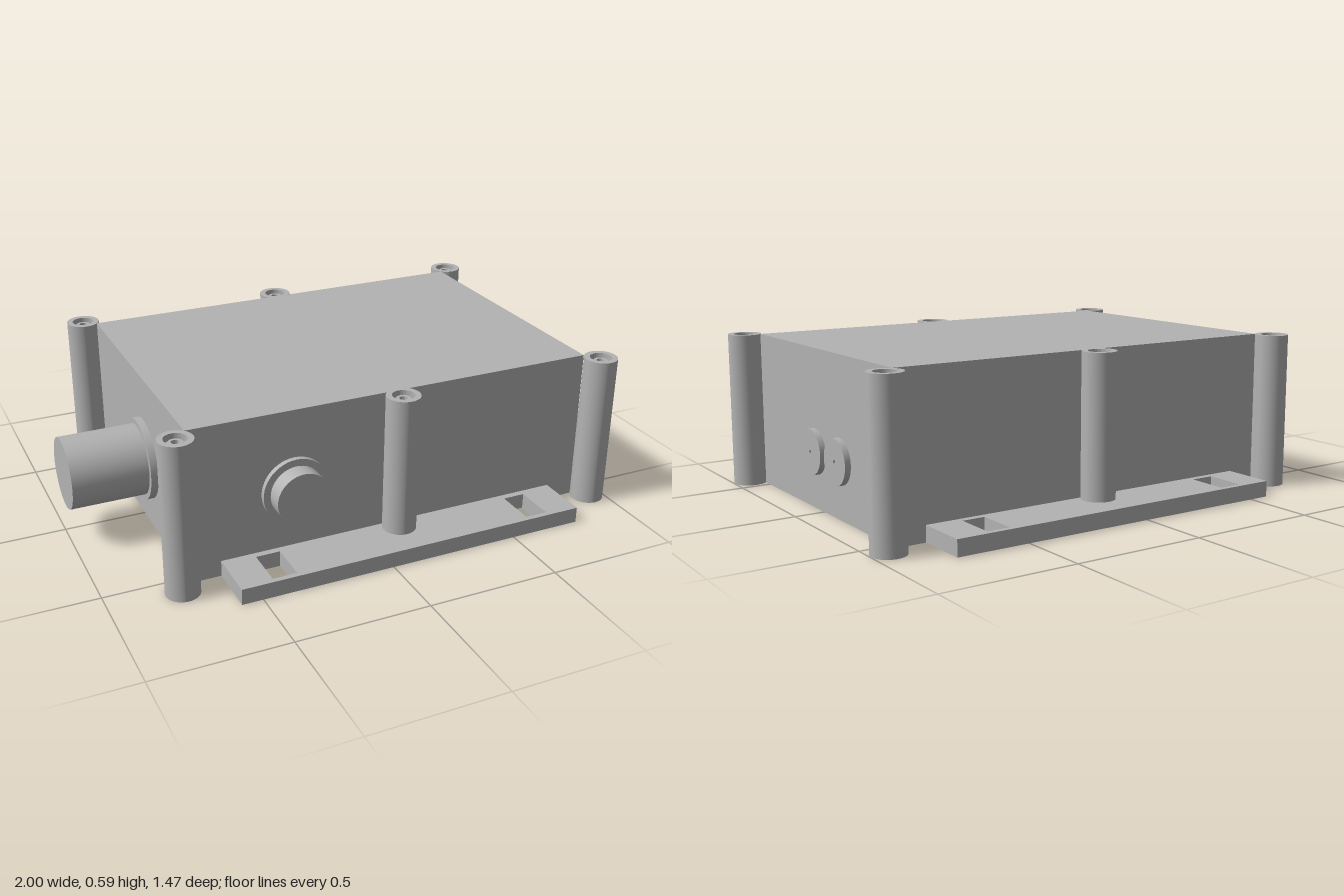
import * as THREE from 'three';
import { toCreasedNormals } from 'three/addons/utils/BufferGeometryUtils.js';

const H = 0.588; // overall height
const BODY = { x0: -0.69, x1: 0.888, z: 0.537 };

export function createModel() {
  const model = new THREE.Group();
  model.name = 'enclosure';
  const grey = new THREE.MeshStandardMaterial({ color: 0xb3b3b3 });
  grey.name = 'plain grey';

  const add = (name, geometry, x = 0, y = 0, z = 0) => {
    const mesh = new THREE.Mesh(geometry, grey);
    mesh.name = name;
    mesh.position.set(x, y, z);
    model.add(mesh);
    return mesh;
  };

  // Turned part around y from [radius, height] pairs, with sharp edges kept
  const turned = (profile) => toCreasedNormals(
    new THREE.LatheGeometry(profile.map(([r, y]) => new THREE.Vector2(r, y)), 48), 0.6);

  // Main box
  add('body', new THREE.BoxGeometry(BODY.x1 - BODY.x0, H, BODY.z * 2),
    (BODY.x0 + BODY.x1) / 2, H / 2, 0);

  // Screw posts with a counterbored hole; the middle ones stand on the flanges
  const post = (h) => turned([
    [0, 0], [0.0625, 0], [0.0625, h], [0.041, h], [0.041, h - 0.025],
    [0.026, h - 0.025], [0.026, h - 0.012], [0.015, h - 0.012],
    [0.015, h - 0.06], [0, h - 0.06],
  ]);
  const posts = [['rearPost', -0.735, 0], ['middlePost', 0.1, 0.06], ['endPost', 0.935, 0]];
  for (const [name, x, y] of posts) {
    for (const side of [-1, 1]) add(name, post(H - y), x, y, side * 0.58);
  }

  // Mounting flanges with two slots each
  const rect = (Type, x0, x1, y0, y1) => new Type([
    new THREE.Vector2(x0, y0), new THREE.Vector2(x1, y0),
    new THREE.Vector2(x1, y1), new THREE.Vector2(x0, y1),
  ]);
  for (const side of [-1, 1]) {
    // Shape y becomes -z once laid flat
    const span = (a, b) => (side > 0 ? [-b, -a] : [a, b]);
    const shape = rect(THREE.Shape, -0.578, 0.775, ...span(BODY.z, 0.735));
    for (const [a, b] of [[-0.457, -0.366], [0.564, 0.65]]) {
      shape.holes.push(rect(THREE.Path, a, b, ...span(0.562, 0.715)));
    }
    const geometry = new THREE.ExtrudeGeometry(shape, { depth: 0.06, bevelEnabled: false });
    geometry.rotateX(-Math.PI / 2);
    add('mountingFlange', geometry);
  }

  // Round push button on the front, with its collar
  add('frontButton', turned([
    [0, 0], [0.125, 0], [0.125, 0.02], [0.099, 0.02], [0.099, 0.085], [0, 0.085],
  ]), -0.297, 0.283, BODY.z).rotation.x = Math.PI / 2;

  // Large cylindrical connector on the right side, with its collar
  add('sideConnector', turned([
    [0, 0], [0.154, 0], [0.154, 0.027], [0.134, 0.027], [0.134, 0.31], [0, 0.31],
  ]), BODY.x0, 0.264, 0.055).rotation.z = Math.PI / 2;

  // Two thin discs with a pin hole on the left side
  for (const z of [0.057, -0.141]) {
    add('sideDisc', turned([
      [0, 0], [0.084, 0], [0.084, 0.022], [0.008, 0.022], [0.008, 0.004], [0, 0.004],
    ]), BODY.x1, 0.212, z).rotation.z = -Math.PI / 2;
  }

  return model;
}
